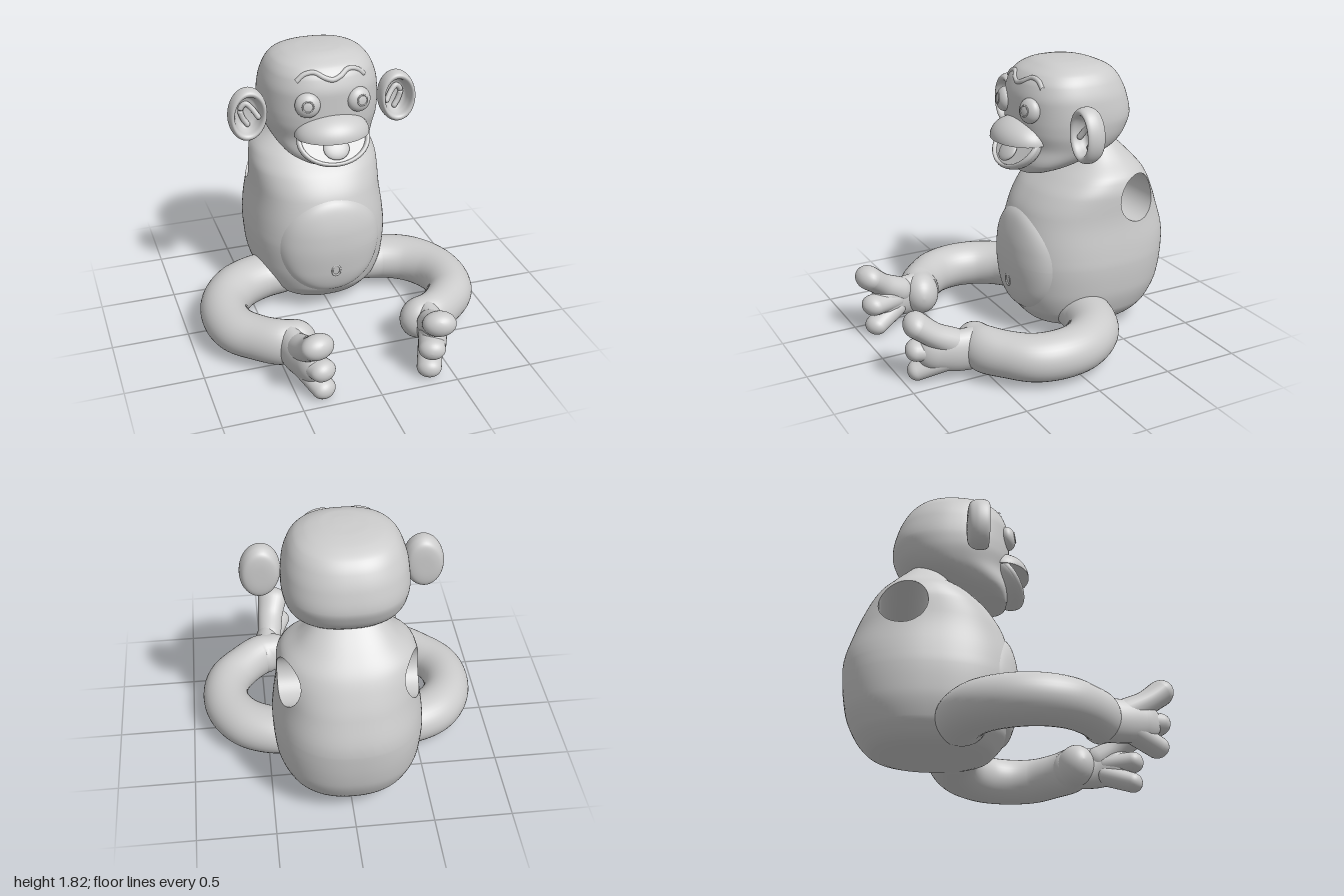
import * as THREE from 'three';

const V = (x, y, z) => new THREE.Vector3(x, y, z);
const grey = new THREE.MeshStandardMaterial({ color: 0xcccccc });
const greyOpen = new THREE.MeshStandardMaterial({ color: 0xcccccc, side: THREE.DoubleSide });
const POWER = 2.35; // squareness of the body and head cross-sections

// Cross-section rows: height, front z, back z, half width
const BODY = [
  [0.07, -0.12, -0.74, 0.27], [0.09, -0.06, -0.8, 0.32], [0.13, -0.02, -0.85, 0.37], [0.2, 0.03, -0.905, 0.42],
  [0.35, 0.07, -0.97, 0.462], [0.52, 0.085, -0.995, 0.473], [0.62, 0.08, -1.0, 0.465], [0.85, 0.02, -0.94, 0.437],
  [0.98, -0.06, -0.885, 0.435], [1.08, -0.165, -0.83, 0.41], [1.19, -0.3, -0.735, 0.3], [1.32, -0.4, -0.6, 0.18],
];
const HEAD = [
  [1.12, 0.0, -0.13, 0.08], [1.135, 0.035, -0.18, 0.16], [1.2, 0.04, -0.37, 0.275], [1.3, 0.025, -0.62, 0.345],
  [1.4, 0.045, -0.695, 0.378], [1.48, 0.05, -0.72, 0.386], [1.6, 0.05, -0.695, 0.376], [1.7, 0.025, -0.65, 0.345],
  [1.76, -0.02, -0.6, 0.305], [1.8, -0.09, -0.52, 0.24], [1.822, -0.15, -0.42, 0.15], [1.83, -0.23, -0.31, 0.05],
];

// Smooth, overshoot-free interpolation of a row table at height y
function section(rows, y) {
  const last = rows.length - 1;
  let i = 0;
  while (i < last - 1 && y > rows[i + 1][0]) i++;
  const h = rows[i + 1][0] - rows[i][0];
  const t = THREE.MathUtils.clamp((y - rows[i][0]) / h, 0, 1);
  const secant = (k, c) => (rows[k + 1][c] - rows[k][c]) / (rows[k + 1][0] - rows[k][0]);
  const slope = (k, c) => {
    if (k === 0) return secant(0, c);
    if (k === last) return secant(last - 1, c);
    const a = secant(k - 1, c), b = secant(k, c);
    return a * b > 0 ? (2 * a * b) / (a + b) : 0;
  };
  const [front, back, w] = [1, 2, 3].map((c) =>
    rows[i][c] * (1 + 2 * t) * (1 - t) ** 2 + rows[i + 1][c] * t * t * (3 - 2 * t)
    + h * (slope(i, c) * t * (1 - t) ** 2 + slope(i + 1, c) * t * t * (t - 1)));
  return { mid: (front + back) / 2, d: (front - back) / 2, w };
}
const arc = (u) => Math.max(0, 1 - Math.abs(u) ** POWER) ** (1 / POWER);
function frontZ(rows, x, y) {
  const s = section(rows, y);
  return s.mid + s.d * arc(x / s.w);
}
function halfWidth(rows, y, z) {
  const s = section(rows, y);
  return s.w * arc((z - s.mid) / s.d);
}

// Skin over closed rings of equal size, capped at both ends; keep() may drop triangles
function loft(rings, keep = () => true) {
  const n = rings[0].length, pts = rings.flat(), index = [];
  const add = (...t) => { if (keep(...t.map((k) => pts[k]))) index.push(...t); };
  const centre = (ring) => pts.push(ring.reduce((s, p) => s.add(p), V(0, 0, 0)).divideScalar(n)) - 1;
  const start = centre(rings[0]), end = centre(rings[rings.length - 1]), top = (rings.length - 1) * n;
  for (let j = 0; j < n; j++) {
    const k = (j + 1) % n;
    add(start, j, k);
    add(end, top + k, top + j);
    for (let i = 0; i < top; i += n) {
      add(i + j, i + n + j, i + k);
      add(i + k, i + n + j, i + n + k);
    }
  }
  return { pts, index };
}
function toGeometry({ pts, index }) {
  const g = new THREE.BufferGeometry().setFromPoints(pts);
  g.setIndex(index);
  g.computeVertexNormals();
  return g;
}
function rowRings(rows, n = 96, steps = 6) {
  const rings = [];
  for (let k = 0; k <= (rows.length - 1) * steps; k++) {
    const i = Math.min(Math.floor(k / steps), rows.length - 2);
    const y = THREE.MathUtils.lerp(rows[i][0], rows[i + 1][0], k / steps - i);
    const s = section(rows, y);
    const bend = (v) => Math.sign(v) * Math.abs(v) ** (2 / POWER);
    rings.push(Array.from({ length: n }, (_, j) => {
      const a = (j / n) * Math.PI * 2;
      return V(s.w * bend(Math.cos(a)), y, s.mid + s.d * bend(Math.sin(a)));
    }));
  }
  return rings;
}

// Round-ended limb through points [x, y, z, side radius, vertical radius]
function limb(rows, s, steps = 40, n = 28) {
  const path = new THREE.CatmullRomCurve3(rows.map((r) => V(s * r[0], r[1], r[2])));
  const size = new THREE.CatmullRomCurve3(rows.map((r, i) => V(r[3], r[4], i * 0.15)));
  const rings = [];
  const ring = (t, swell) => {
    const T = path.getTangent(t), S = T.clone().cross(V(0, 1, 0)).normalize(), U = S.clone().cross(T);
    const r = size.getPoint(t);
    const c = path.getPoint(t).addScaledVector(T, r.y * Math.sin(swell));
    rings.push(Array.from({ length: n }, (_, j) => {
      const a = (j / n) * Math.PI * 2, k = Math.cos(swell);
      return c.clone().addScaledVector(S, r.x * k * Math.cos(a)).addScaledVector(U, r.y * k * Math.sin(a));
    }));
  };
  for (let k = -9; k < 0; k++) ring(0, (k / 9) * 1.52);
  for (let k = 0; k <= steps; k++) ring(k / steps, 0);
  for (let k = 1; k <= 9; k++) ring(1, (k / 9) * 1.52);
  return toGeometry(loft(rings));
}

export function createModel() {
  const model = new THREE.Group();
  const add = (name, geometry, material = grey, parent = model) => {
    const m = new THREE.Mesh(geometry, material);
    m.name = name;
    parent.add(m);
    return m;
  };

  // Body with a round arm hole running through from side to side
  const hole = { y: 0.945, z: -0.642, r: 0.152 };
  const inside = (p) => Math.hypot(p.y - hole.y, p.z - hole.z) < hole.r && Math.abs(p.x) > 0.1;
  const skin = loft(rowRings(BODY), (a, b, c) => !(inside(a) && inside(b) && inside(c)));
  skin.pts.filter(inside).forEach((p) => {
    const a = Math.atan2(p.y - hole.y, p.z - hole.z);
    p.y = hole.y + hole.r * Math.sin(a);
    p.z = hole.z + hole.r * Math.cos(a);
    p.x = Math.sign(p.x) * halfWidth(BODY, p.y, p.z);
  });
  add('body', toGeometry(skin));
  const bore = new THREE.CylinderGeometry(hole.r, hole.r, 2, 64, 1, true);
  bore.rotateZ(Math.PI / 2).translate(0, hole.y, hole.z);
  const bp = bore.attributes.position;
  for (let i = 0; i < bp.count; i++) bp.setX(i, Math.sign(bp.getX(i)) * halfWidth(BODY, bp.getY(i), bp.getZ(i)));
  add('armHole', bore, greyOpen);

  // Belly pad following the body front, with a navel
  const bellyZ = (x, y, r) => frontZ(BODY, x, y) + 0.03 * (1 - r ** 14) - 0.006;
  const belly = new THREE.RingGeometry(0.001, 1, 72, 30);
  const q = belly.attributes.position;
  for (let i = 0; i < q.count; i++) {
    const r = Math.min(1, Math.hypot(q.getX(i), q.getY(i)));
    const x = q.getX(i) * 0.35, y = 0.515 + q.getY(i) * 0.345;
    q.setXYZ(i, x, y, bellyZ(x, y, r));
  }
  belly.computeVertexNormals();
  add('belly', belly);
  const navel = add('navel', new THREE.TorusGeometry(0.028, 0.006, 10, 32));
  navel.position.set(0, 0.37, bellyZ(0, 0.37, 0.4));
  navel.scale.y = 1.35;

  // Head and brow ridge
  add('head', toGeometry(loft(rowRings(HEAD))));
  const browLine = [[-0.22, 1.695], [-0.17, 1.735], [-0.11, 1.745], [-0.05, 1.715], [0, 1.7],
    [0.05, 1.715], [0.11, 1.745], [0.17, 1.735], [0.22, 1.695]];
  const brow = new THREE.CatmullRomCurve3(browLine.map(([x, y]) => V(x, y, frontZ(HEAD, x, y) - 0.004)));
  add('brow', new THREE.TubeGeometry(brow, 64, 0.016, 12));

  // Muzzle: domed upper lip with a flat underside
  const muzzle = new THREE.Group();
  muzzle.name = 'muzzle';
  muzzle.position.set(0, 1.335, 0);
  muzzle.scale.set(0.242, 0.145, 0.185);
  model.add(muzzle);
  add('upperLip', new THREE.SphereGeometry(1, 48, 20, 0, Math.PI * 2, 0, Math.PI / 2), grey, muzzle);
  add('palate', new THREE.CircleGeometry(1, 48).rotateX(Math.PI / 2), grey, muzzle);

  // Jaw: tilted half bowl with a rim, plus the tongue
  const jaw = new THREE.Group();
  jaw.name = 'jaw';
  jaw.position.set(0, 1.305, 0.03);
  jaw.rotation.x = 0.9;
  model.add(jaw);
  const bowl = add('chin', new THREE.SphereGeometry(1, 48, 20, 0, Math.PI * 2, Math.PI / 2, Math.PI / 2), grey, jaw);
  bowl.scale.set(0.24, 0.11, 0.18);
  const mouth = add('mouthFloor', new THREE.CircleGeometry(1, 48).rotateX(-Math.PI / 2), grey, jaw);
  mouth.scale.copy(bowl.scale);
  const lip = add('lowerLip', new THREE.TorusGeometry(0.94, 0.07, 12, 48).rotateX(Math.PI / 2), grey, jaw);
  lip.scale.set(0.24, 0.3, 0.18);
  const tongue = add('tongue', new THREE.SphereGeometry(1, 32, 16), grey, jaw);
  tongue.position.set(0, 0.025, 0.07);
  tongue.scale.set(0.085, 0.025, 0.075);

  for (const s of [1, -1]) {
    const side = s > 0 ? 'left' : 'right';

    // Eye with a ringed pupil
    const eye = new THREE.Group();
    eye.name = side + 'Eye';
    eye.position.set(s * 0.167, 1.555, 0.028);
    eye.rotation.set(-0.14, s * 0.22, 0);
    model.add(eye);
    add('eyeball', new THREE.SphereGeometry(0.08, 40, 24), grey, eye).scale.z = 0.65;
    add('pupil', new THREE.TorusGeometry(0.034, 0.005, 10, 32), grey, eye).position.z = 0.047;

    // Dished ear with an inner fold
    const ear = new THREE.Group();
    ear.name = side + 'Ear';
    ear.position.set(s * 0.5, 1.455, -0.195);
    ear.rotation.z = s * 0.08;
    model.add(ear);
    const rim = [[0, -0.07], [0.5, -0.068], [0.82, -0.055], [0.97, -0.02], [1, 0.015], [0.96, 0.05], [0.86, 0.068],
      [0.74, 0.058], [0.66, 0.02], [0.5, -0.02], [0, -0.03]];
    const rimCurve = new THREE.SplineCurve(rim.map(([x, y]) => new THREE.Vector2(x, y)));
    const profile = rimCurve.getPoints(50).map((p) => p.setX(Math.max(0, p.x)));
    const shell = add('earShell', new THREE.LatheGeometry(profile, 48).rotateX(Math.PI / 2), greyOpen, ear);
    shell.scale.set(0.125, 0.175, 1);
    const fold = [[-0.07, -0.02, 0.02], [-0.03, 0.03, 0.0], [0.01, 0.06, -0.01], [0.04, 0.02, -0.015],
      [0.02, -0.04, -0.015], [-0.01, -0.08, -0.01]];
    add('earFold', limb(fold.map((p) => [...p, 0.018, 0.018]), s, 30, 14), grey, ear);

    // Bent leg, foot and three toes
    const leg = new THREE.Group();
    leg.name = side + 'Leg';
    model.add(leg);
    add('leg', limb([[0.3, 0.2, -0.27, 0.16, 0.14], [0.45, 0.195, -0.26, 0.165, 0.15], [0.62, 0.19, -0.18, 0.165, 0.155],
      [0.735, 0.185, -0.03, 0.158, 0.155], [0.77, 0.185, 0.14, 0.153, 0.152], [0.735, 0.185, 0.3, 0.15, 0.148],
      [0.63, 0.19, 0.43, 0.138, 0.145], [0.51, 0.195, 0.525, 0.13, 0.15], [0.425, 0.2, 0.545, 0.118, 0.14]], s, 72, 36), grey, leg);
    add('foot', limb([[0.46, 0.195, 0.54, 0.1, 0.14], [0.445, 0.195, 0.68, 0.088, 0.135],
      [0.41, 0.205, 0.8, 0.085, 0.125]], s), grey, leg);
    add('bigToe', limb([[0.43, 0.25, 0.7, 0.085, 0.09], [0.415, 0.32, 0.82, 0.09, 0.076],
      [0.39, 0.402, 0.925, 0.106, 0.08]], s), grey, leg);
    add('middleToe', limb([[0.42, 0.205, 0.74, 0.08, 0.07], [0.355, 0.215, 0.915, 0.085, 0.068]], s), grey, leg);
    add('smallToe', limb([[0.42, 0.14, 0.74, 0.08, 0.07], [0.345, 0.073, 0.905, 0.078, 0.064]], s), grey, leg);
  }
  return model;
}
